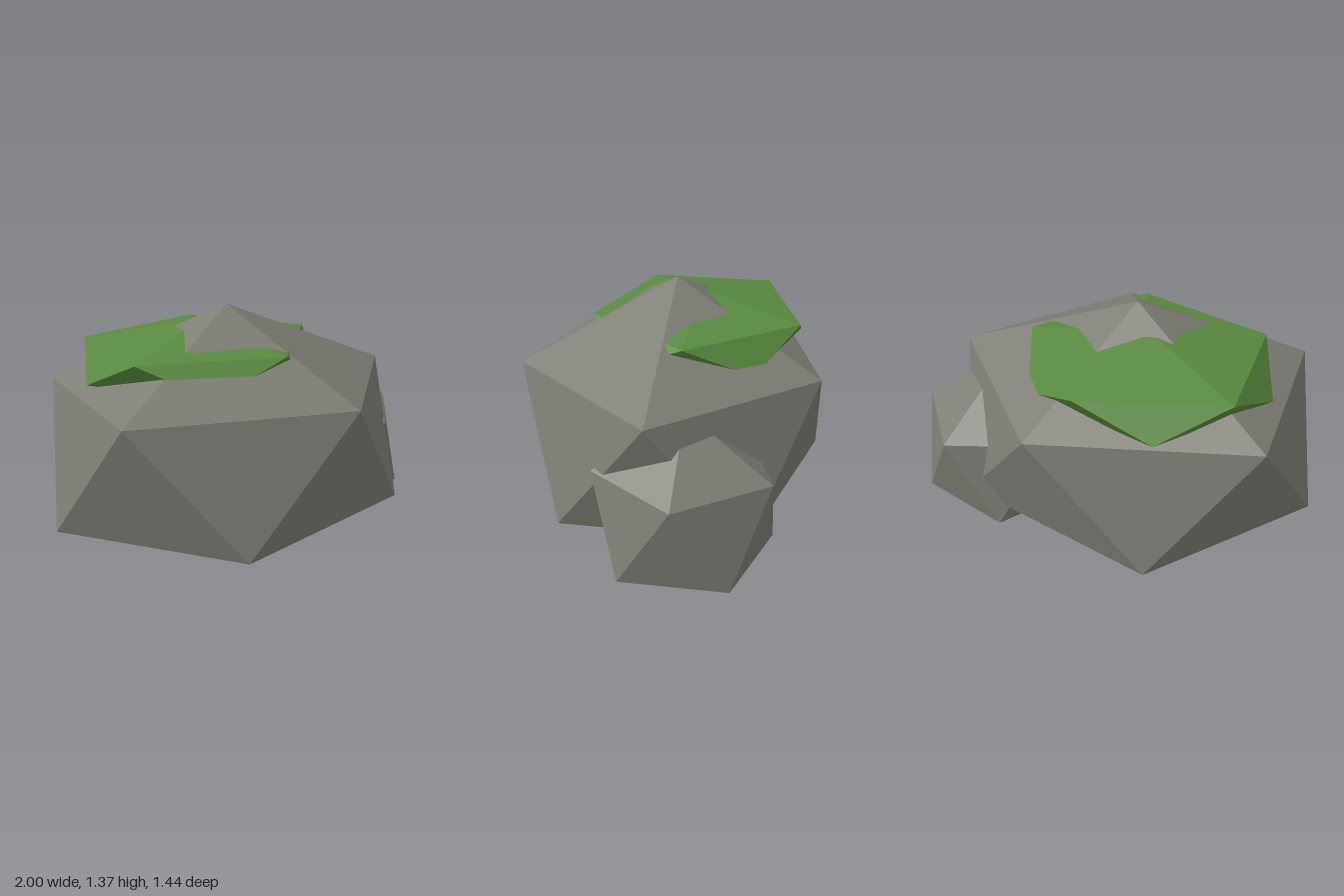
import * as THREE from 'three';

// Unit icosahedron standing on a pole, with an upper-ring corner towards +x
function poleIcosahedron() {
  const h = 1 / Math.sqrt(5), r = 2 * h;
  const points = [0, 1, 0];
  for (const [y, shift] of [[h, 0], [-h, 0.5]]) {
    for (let i = 0; i < 5; i++) {
      const a = (i + shift) * Math.PI * 2 / 5;
      points.push(r * Math.cos(a), y, r * Math.sin(a));
    }
  }
  points.push(0, -1, 0);

  const faces = [];
  for (let i = 0; i < 5; i++) {
    const j = (i + 1) % 5;
    const u = 1 + i, u2 = 1 + j, l = 6 + i, l2 = 6 + j;
    faces.push(0, u2, u, u, u2, l, u2, l2, l, l, l2, 11);
  }
  return new THREE.PolyhedronGeometry(points, faces, 1, 0);
}

export function createModel() {
  const group = new THREE.Group();
  group.name = 'mossyRock';

  const stone = new THREE.MeshStandardMaterial({ color: 0x7d7d75, flatShading: true });
  const green = new THREE.MeshStandardMaterial({ color: 0x5a8a3f, flatShading: true });

  function addBlob(name, material, center, radii) {
    const geometry = poleIcosahedron().scale(...radii);
    const mesh = new THREE.Mesh(geometry, material);
    mesh.name = name;
    mesh.position.set(...center);
    group.add(mesh);
  }

  // Large boulder, smaller stone leaning into its side, flat moss cap on top
  addBlob('mainRock', stone, [-0.09, 0.683, 0], [1.018, 0.683, 0.848]);
  addBlob('sideRock', stone, [0.575, 0.4975, -0.14], [0.475, 0.475, 0.475]);
  addBlob('mossCap', green, [-0.183, 1.109, -0.1], [0.663, 0.17, 0.593]);

  return group;
}
